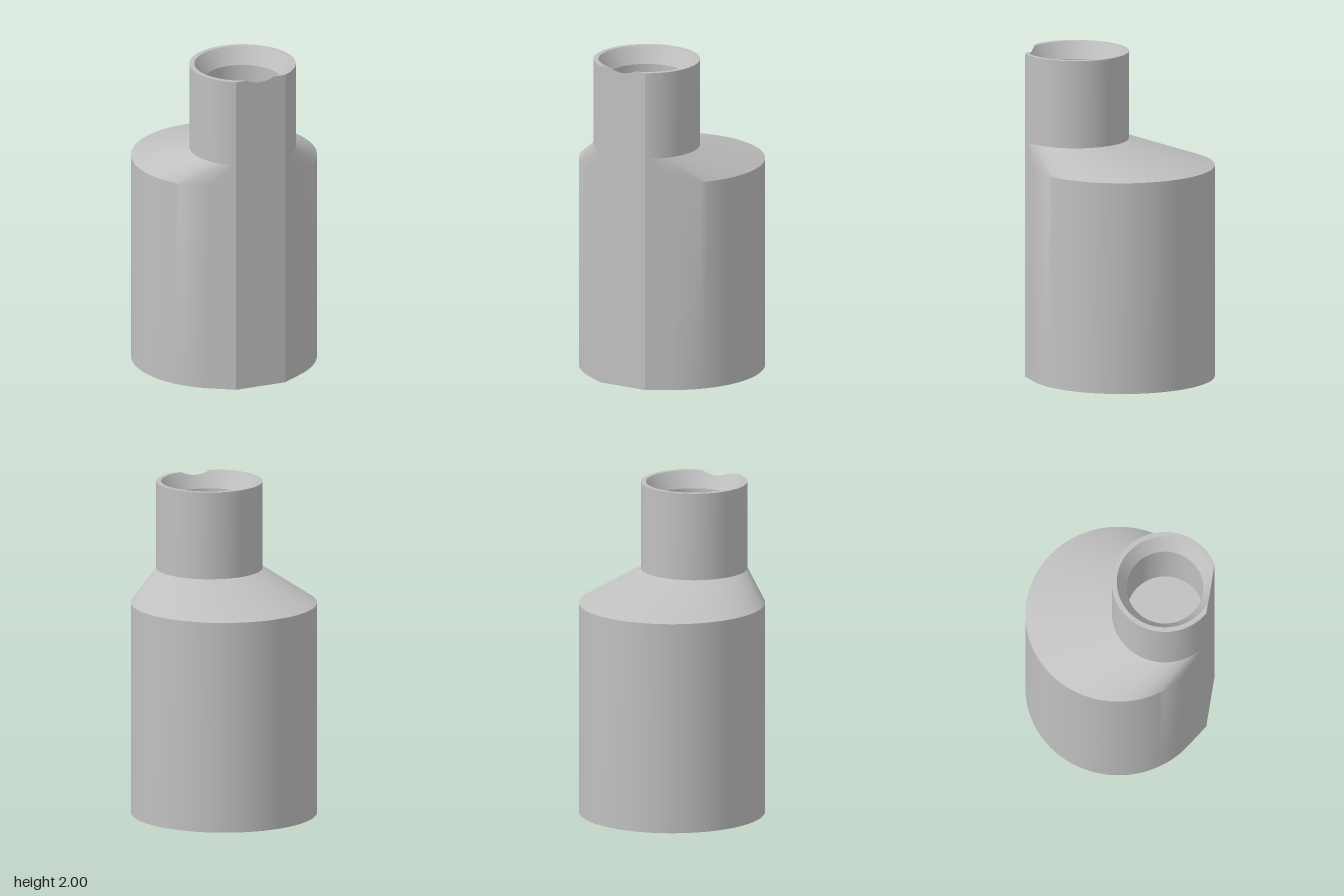
import * as THREE from 'three';
import { toCreasedNormals } from 'three/addons/utils/BufferGeometryUtils.js';

const BODY_R = 0.565, NECK_R = 0.323, NECK_Z = 0.286, FLAT_Z = 0.565;
const RIM_R = 0.293, BORE_R = 0.232, CHAMFER = 0.1, TOP = 2;
const SHOULDER_Y = 1.305, NECK_Y = 1.46, RECESS_R = 0.475, RECESS_Y = 1.2;
const FLAT_D = FLAT_Z - NECK_Z;

// Angle at which one straight wall is tangent to both the body and the neck
const TANGENT = Math.acos((BODY_R - NECK_R) / NECK_Z);

// Stations around the axis (0 = front); the tangent angle appears twice per side
function makeStations() {
  const list = [];
  const n = 144;
  for (let i = 0; i < n; i++) {
    const a = -Math.PI + (2 * Math.PI * i) / n;
    list.push({ a, onNeck: Math.abs(a) < TANGENT });
  }
  for (const s of [-1, 1]) {
    list.push({ a: s * TANGENT, onNeck: false }, { a: s * TANGENT, onNeck: true });
    for (const r of [NECK_R, RIM_R]) list.push({ a: s * Math.acos(FLAT_D / r), onNeck: true });
  }
  // on the left side the neck station comes first, on the right side second
  list.sort((p, q) => p.a - q.a || (p.a > 0 ? q.onNeck - p.onNeck : p.onNeck - q.onNeck));
  return list;
}
const stations = makeStations();

const circle = (r, y, cz = 0) => ({ a }) => [r * Math.sin(a), y, cz + r * Math.cos(a)];

// Neck circle cut by the front flat
const neckRing = (y) => ({ a }) => [NECK_R * Math.sin(a), y, Math.min(FLAT_Z, NECK_Z + NECK_R * Math.cos(a))];

// Footprint: body circle joined to the neck by tangent walls
const bodyRing = (y) => (s) => (s.onNeck ? neckRing(y) : circle(BODY_R, y))(s);

// Inner rim; where the flat cuts the chamfer, the rim dips
function rimPoint({ a }) {
  const c = Math.cos(a);
  const r = c > 0 ? Math.min(RIM_R, FLAT_D / c) : RIM_R;
  const y = TOP - (CHAMFER * (RIM_R - r)) / (RIM_R - BORE_R);
  return [r * Math.sin(a), y, NECK_Z + r * c];
}
function neckTop(s) {
  const p = neckRing(TOP)(s);
  const rim = rimPoint(s);
  return rim[1] < TOP - 1e-6 ? rim : p;
}

// Skin a sequence of rings
function loft(rings) {
  const pos = [];
  const tri = (p, q, r) => {
    const [A, B, C] = [p, q, r].map((v) => new THREE.Vector3(...v));
    if (B.sub(A).cross(C.sub(A)).length() > 1e-10) pos.push(...p, ...q, ...r);
  };
  for (let j = 0; j < rings.length - 1; j++) {
    stations.forEach((s, i) => {
      const t = stations[(i + 1) % stations.length];
      const a = rings[j](s), b = rings[j](t), c = rings[j + 1](t), d = rings[j + 1](s);
      tri(a, b, c);
      tri(a, c, d);
    });
  }
  const g = new THREE.BufferGeometry();
  g.setAttribute('position', new THREE.Float32BufferAttribute(pos, 3));
  return toCreasedNormals(g, 0.4);
}

export function createModel() {
  const group = new THREE.Group();
  group.name = 'offsetReducer';
  const grey = new THREE.MeshStandardMaterial({ color: 0xc0c0c0 });
  grey.name = 'lightGrey';

  const add = (name, rings) => {
    const mesh = new THREE.Mesh(loft(rings), grey);
    mesh.name = name;
    group.add(mesh);
  };

  // Blind recess in the underside, with the base ring around it
  add('baseRecess', [circle(0, RECESS_Y), circle(RECESS_R, RECESS_Y), circle(RECESS_R, 0), bodyRing(0)]);
  // Body wall and sloping offset shoulder
  add('bodyAndShoulder', [bodyRing(0), bodyRing(SHOULDER_Y), neckRing(NECK_Y)]);
  // Neck and its rim
  add('neck', [neckRing(NECK_Y), neckTop, rimPoint]);
  // Chamfered socket in the neck
  add('neckBore', [
    rimPoint,
    circle(BORE_R, TOP - CHAMFER, NECK_Z),
    circle(BORE_R, NECK_Y, NECK_Z),
    circle(0, NECK_Y, NECK_Z),
  ]);
  return group;
}
